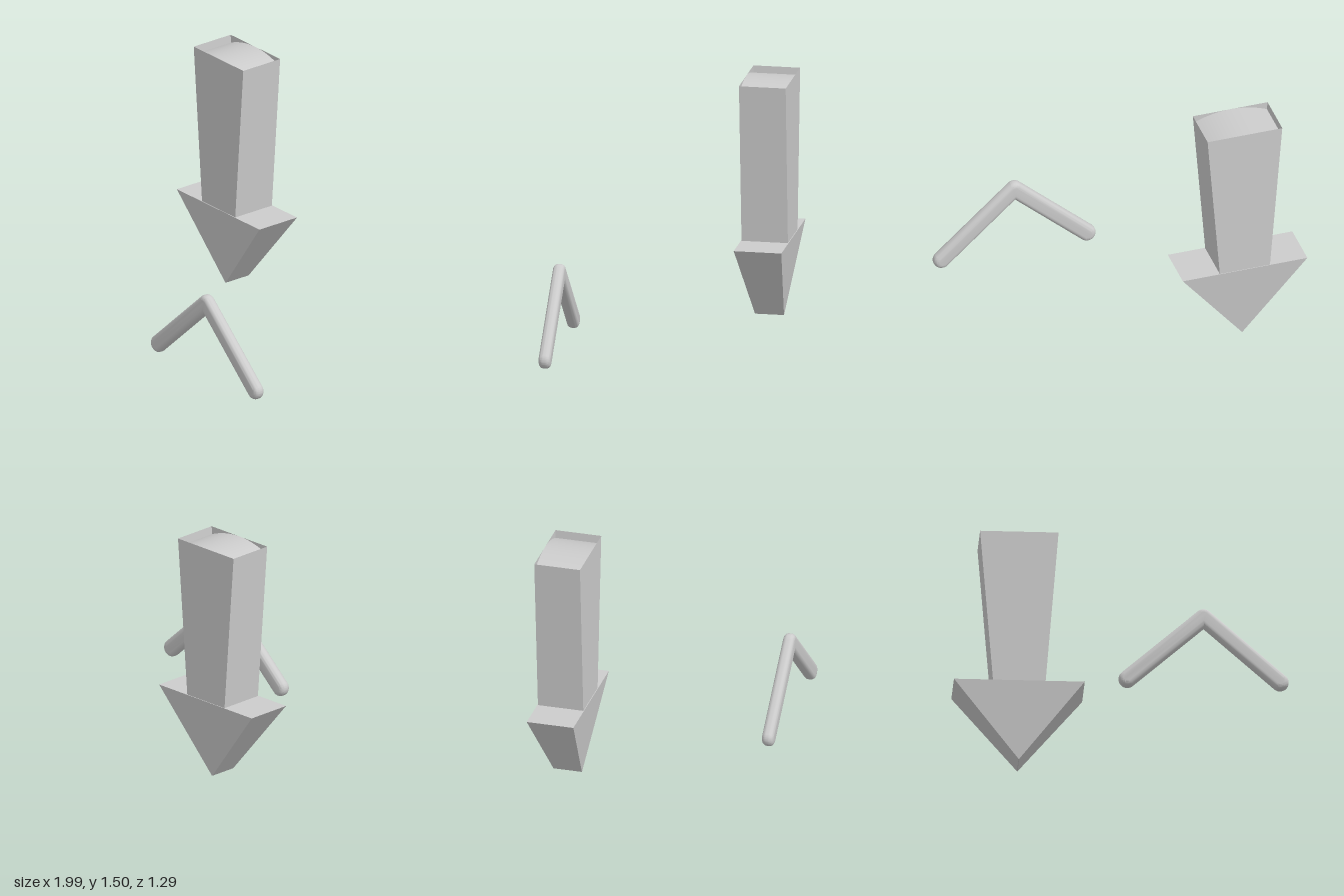
import * as THREE from 'three';
import { toCreasedNormals } from 'three/addons/utils/BufferGeometryUtils.js';

const material = new THREE.MeshStandardMaterial({ color: 0xcccccc, side: THREE.DoubleSide });

// Box from y0 to y1 whose half width and half depth change linearly with height.
// The top panel sinks by `dip` towards its left and right ends, inside the rim.
function taperedBlock(name, y0, y1, bottom, top, dip = 0) {
  const geometry = new THREE.BoxGeometry(2, 1, 2, 16, 1, 1);
  const pos = geometry.attributes.position;
  const normal = geometry.attributes.normal;
  for (let i = 0; i < pos.count; i++) {
    const x = pos.getX(i);
    let t = pos.getY(i) + 0.5;
    if (normal.getY(i) > 0.5) t -= dip * x * x;
    pos.setXYZ(
      i,
      x * THREE.MathUtils.lerp(bottom[0], top[0], t),
      THREE.MathUtils.lerp(y0, y1, t),
      pos.getZ(i) * THREE.MathUtils.lerp(bottom[1], top[1], t)
    );
  }
  geometry.computeVertexNormals();
  const mesh = new THREE.Mesh(geometry, material);
  mesh.name = name;
  return mesh;
}

// Bent bar with round ends and rounded edges
function bentBar() {
  const bevel = 0.03, r = 0.023, flat = 0.013;
  const left = [0.007, 0.079], apex = [0.474, 0.504], right = [0.941, 0.079];
  const a = Math.atan2(apex[1] - left[1], apex[0] - left[0]);
  const q = Math.PI / 2;
  const shape = new THREE.Shape();
  shape.absarc(left[0], left[1], r, a + q, a + 3 * q, false);
  shape.lineTo(apex[0], apex[1] - r / Math.cos(a));
  shape.absarc(right[0], right[1], r, -a - q, -a + q, false);
  shape.absarc(apex[0], apex[1], r, q - a, q + a, false);
  const geometry = new THREE.ExtrudeGeometry(shape, {
    depth: flat, bevelEnabled: true, bevelSize: bevel, bevelThickness: bevel,
    bevelSegments: 6, curveSegments: 14,
  });
  geometry.translate(0, 0, 0.608 - flat / 2);
  const mesh = new THREE.Mesh(toCreasedNormals(geometry, 0.7), material);
  mesh.name = 'bentBar';
  return mesh;
}

export function createModel() {
  const model = new THREE.Group();
  model.name = 'arrowAndBentBar';

  // Downward arrow: wedge head and a shaft that widens upwards
  const arrow = new THREE.Group();
  arrow.name = 'downArrow';
  arrow.position.set(-0.6, 0, -0.497);
  arrow.add(
    taperedBlock('arrowHead', 0, 0.503, [0.002, 0.09], [0.4, 0.148]),
    taperedBlock('arrowShaft', 0.49, 1.505, [0.16, 0.144], [0.24, 0.145], 0.05)
  );

  model.add(arrow, bentBar());
  return model;
}
